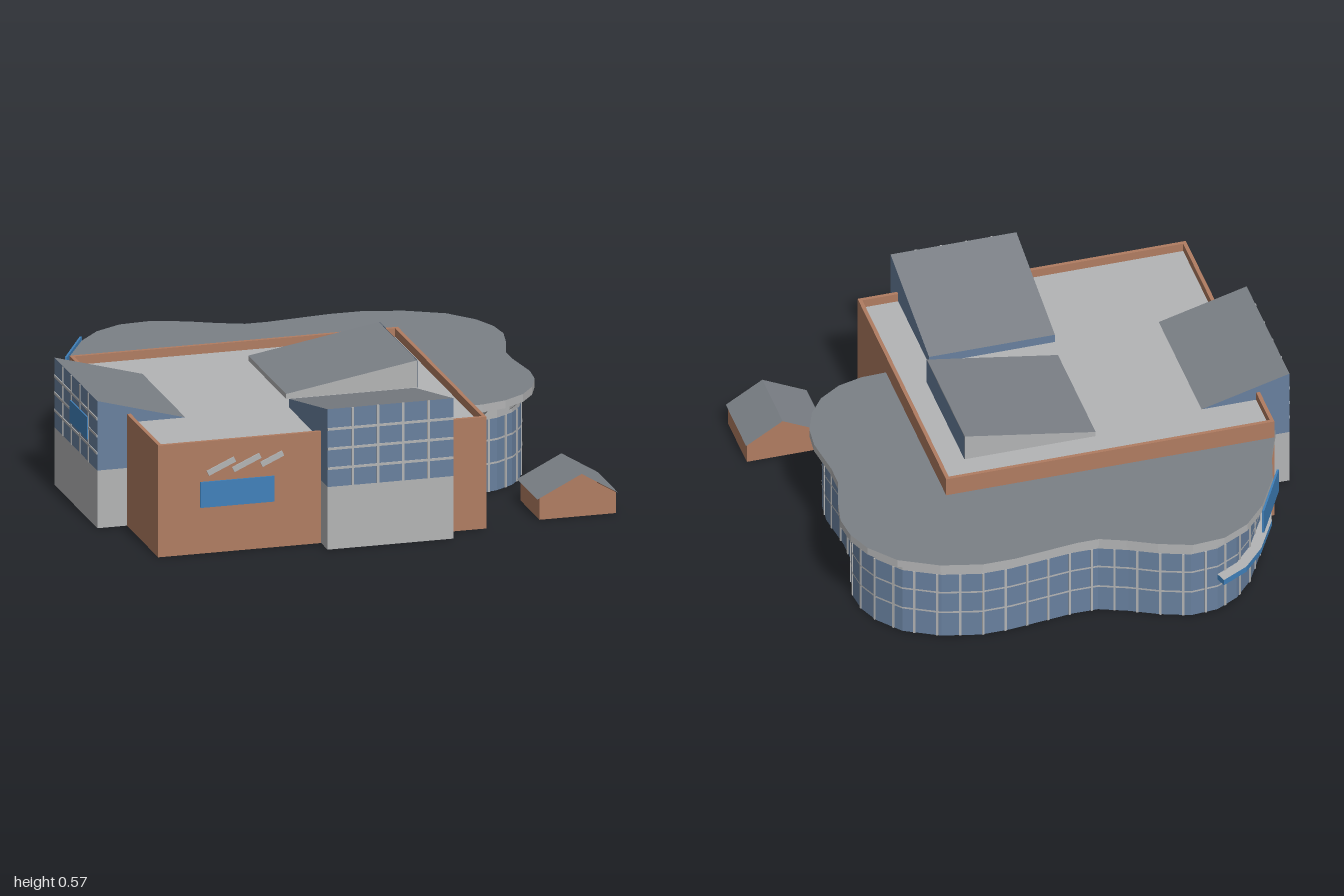
import * as THREE from 'three';

const mat = (name, color) => new THREE.MeshStandardMaterial({ name, color, side: THREE.DoubleSide });

// Flat-shaded geometry from a list of four-cornered faces
function quads(list) {
  const p = [];
  for (const [a, b, c, d] of list) p.push(...a, ...b, ...c, ...a, ...c, ...d);
  const g = new THREE.BufferGeometry();
  g.setAttribute('position', new THREE.Float32BufferAttribute(p, 3));
  g.computeVertexNormals();
  return g;
}

// Vertical band that follows a path of [x, z] points
function ribbon(path, y0, y1) {
  return quads(path.slice(1).map((b, i) => {
    const a = path[i];
    return [[b[0], y0, b[1]], [a[0], y0, a[1]], [a[0], y1, a[1]], [b[0], y1, b[1]]];
  }));
}

// Flat band between two matching paths
function shelf(outer, inner, y) {
  return quads(outer.slice(1).map((b, i) => {
    const a = outer[i], c = inner[i], d = inner[i + 1];
    return [[a[0], y, a[1]], [c[0], y, c[1]], [d[0], y, d[1]], [b[0], y, b[1]]];
  }));
}

// Move a path sideways, to the inside of the curve
function inset(path, dist) {
  return path.map(([x, z], i) => {
    const a = path[Math.max(i - 1, 0)], b = path[Math.min(i + 1, path.length - 1)];
    const l = Math.hypot(b[0] - a[0], b[1] - a[1]);
    return [x - (b[1] - a[1]) / l * dist, z + (b[0] - a[0]) / l * dist];
  });
}

// Evenly spaced points along a path, each with its outward angle
function along(path, step) {
  const out = [];
  let next = step / 2, run = 0;
  for (let i = 1; i < path.length; i++) {
    const [ax, az] = path[i - 1], [bx, bz] = path[i];
    const l = Math.hypot(bx - ax, bz - az);
    for (; next < run + l; next += step) {
      const t = (next - run) / l;
      out.push({ x: ax + (bx - ax) * t, z: az + (bz - az) * t, angle: -Math.atan2(bz - az, bx - ax) });
    }
    run += l;
  }
  return out;
}

export function createModel() {
  const root = new THREE.Group();
  const brick = mat('brick', 0xb07c61), glass = mat('glass', 0x68809e);
  const slate = mat('roof grey', 0x7b8086), light = mat('light grey', 0xb3b4b5);
  const blue = mat('sign blue', 0x3f80ba);

  const add = (name, geo, m, parent = root) => {
    const o = new THREE.Mesh(geo, m);
    o.name = name;
    parent.add(o);
    return o;
  };
  const box = (name, m, x0, x1, y0, y1, z0, z1, parent) => {
    const o = add(name, new THREE.BoxGeometry(x1 - x0, y1 - y0, z1 - z0), m, parent);
    o.position.set((x0 + x1) / 2, (y0 + y1) / 2, (z0 + z1) / 2);
    return o;
  };
  const group = (name) => {
    const g = new THREE.Group();
    g.name = name;
    root.add(g);
    return g;
  };

  // Main hall: open brick shell with a sunken flat roof
  const X0 = -0.88, X1 = 0.45, Z0 = -0.37, Z1 = 0.85, T = 0.015;
  box('leftWall', brick, X0, X0 + T, 0, 0.455, Z0, Z1);
  box('rightWall', brick, X1 - T, X1, 0, 0.455, Z0, Z1);
  box('backWall', brick, X0 + T, X1 - T, 0, 0.455, Z0, Z0 + T);
  box('frontWall', brick, X0 + T, X1 - T, 0, 0.455, Z1 - T, Z1);
  box('flatRoof', [light, light, light, slate, light, light],
    X0 + T, X1 - T, 0.41, 0.42, Z0 + T, Z1 - T);

  // Open shell with a sloped top; top(x, z) gives the height
  function shell(name, parent, [x0, x1, z0, z1], y0, top, m) {
    const c = [[x0, z1], [x1, z1], [x1, z0], [x0, z0]];
    return add(name, quads(c.map(([x, z], i) => {
      const [u, w] = c[(i + 1) % 4];
      return [[x, y0, z], [u, y0, w], [u, top(u, w), w], [x, top(x, z), z]];
    })), m, parent);
  }
  function slopedRoof(parent, [x0, x1, z0, z1], top) {
    const c = [[x0, z1], [x1, z1], [x1, z0], [x0, z0]];
    add('slopedRoof', quads([c.map(([x, z]) => [x, top(x, z), z])]), slate, parent);
  }

  // Front tower
  const front = group('frontTower'), fr = [-0.22, 0.29, 0.41, 0.94];
  const frontTop = (x, z) => 0.455 + (z - 0.41) / 0.53 * 0.117;
  shell('towerBase', front, fr, 0, () => 0.255, light);
  shell('towerGlass', front, fr, 0.255, frontTop, glass);
  slopedRoof(front, fr, frontTop);
  for (let i = 1; i < 5; i++) {
    const x = -0.22 + i * 0.102;
    box('windowBar', light, x - 0.005, x + 0.005, 0.255, 0.572, 0.938, 0.943, front);
  }
  for (const y of [0.33, 0.41, 0.49]) box('windowBar', light, -0.22, 0.29, y - 0.005, y + 0.005, 0.938, 0.943, front);

  // Left tower
  const left = group('leftTower'), lr = [-1, -0.63, -0.17, 0.42];
  const leftTop = (x) => 0.518 - (x + 1) * 0.275;
  shell('towerBase', left, lr, 0, () => 0.235, light);
  shell('towerGlass', left, lr, 0.235, leftTop, glass);
  slopedRoof(left, lr, leftTop);
  for (let i = 1; i < 5; i++) {
    const z = -0.17 + i * 0.118;
    box('windowBar', light, -1.003, -0.998, 0.235, 0.516, z - 0.005, z + 0.005, left);
  }
  for (const y of [0.305, 0.375, 0.445]) box('windowBar', light, -1.003, -0.998, y - 0.005, y + 0.005, -0.17, 0.42, left);
  box('towerSign', blue, -1.006, -1, 0.325, 0.415, 0.06, 0.3, left);

  // Skylight on the flat roof, glazed on its tall side
  const sky = group('skylight'), sr = [-0.2, 0.33, -0.22, 0.3];
  const skyTop = (x) => 0.44 + (x + 0.2) / 0.53 * 0.09;
  shell('skylightWalls', sky, sr, 0.415, skyTop, light);
  slopedRoof(sky, sr, skyTop);
  add('skylightGlass', ribbon([[0.332, 0.3], [0.332, -0.22]], 0.42, 0.53), glass, sky);

  // Blue panel and slanted strips on the front wall
  box('frontSign', blue, -0.71, -0.41, 0.188, 0.292, 0.85, 0.857);
  for (let i = 0; i < 3; i++) {
    const s = box('slantedStrip', light, -0.06, 0.06, -0.011, 0.011, 0, 0.006);
    s.position.set(-0.625 + i * 0.103, 0.35 + i * 0.006, 0.853);
    s.rotation.z = 0.42;
    if (i === 2) s.scale.x = 0.8;
  }

  // Curved wing
  const wing = group('curvedWing');
  const outline = [
    [-0.9, -0.32], [-0.84, -0.47], [-0.8, -0.62], [-0.71, -0.78], [-0.62, -0.88], [-0.51, -0.94],
    [-0.38, -0.95], [-0.25, -0.905], [-0.14, -0.85], [-0.04, -0.81], [0.05, -0.81], [0.18, -0.825],
    [0.31, -0.84], [0.44, -0.84], [0.6, -0.8], [0.75, -0.72], [0.84, -0.61], [0.88, -0.51],
    [0.89, -0.41], [0.87, -0.31], [0.83, -0.17], [0.83, -0.08], [0.85, 0.09], [0.84, 0.19],
    [0.8, 0.29], [0.74, 0.37], [0.65, 0.43], [0.55, 0.457], [0.45, 0.46]];
  const wall = inset(outline, 0.05), bars = inset(outline, 0.047);
  add('curvedGlass', ribbon(wall, 0, 0.295), glass, wing);
  add('upperBand', ribbon(wall, 0.295, 0.35), light, wing);
  for (const y of [0.115, 0.21]) add('windowBar', ribbon(bars, y - 0.004, y + 0.004), light, wing);
  for (const { x, z, angle } of along(wall, 0.09)) {
    const b = add('windowBar', new THREE.BoxGeometry(0.009, 0.295, 0.008), light, wing);
    b.position.set(x, 0.1475, z);
    b.rotation.y = angle;
  }

  // Overhanging roof slab: grey faces with a light rim
  const slab = new THREE.Shape([...outline, [0.44, -0.36], [-0.87, -0.36]].map(([x, z]) => new THREE.Vector2(x, -z)));
  const slabGeo = new THREE.ExtrudeGeometry(slab, { depth: 0.032, bevelEnabled: false });
  slabGeo.rotateX(-Math.PI / 2);
  add('wingRoof', slabGeo, [slate, light], wing).position.y = 0.346;

  // Triangular brackets under the overhang
  const tri = new THREE.Shape([[0, 0], [0.042, 0], [0, -0.035]].map((p) => new THREE.Vector2(...p)));
  const bracket = new THREE.ExtrudeGeometry(tri, { depth: 0.01, bevelEnabled: false });
  bracket.translate(0, 0, -0.005);
  bracket.rotateY(Math.PI / 2);
  for (const { x, z, angle } of along(wall, 0.15)) {
    const b = add('bracket', bracket, light, wing);
    b.position.set(x, 0.346, z);
    b.rotation.y = angle;
  }

  // Entrance canopy and banner at the back left
  const edge = inset(outline, 0.004).slice(0, 6), inner = wall.slice(0, 6);
  add('canopyTop', shelf(edge, inner, 0.17), light, wing);
  add('canopyUnderside', shelf(edge, inner, 0.145), blue, wing);
  add('canopyEdge', ribbon(edge, 0.145, 0.17), blue, wing);
  add('canopyEnd', ribbon([edge[5], inner[5]], 0.145, 0.17), blue, wing);
  const banner = add('banner', new THREE.BoxGeometry(0.273, 0.105, 0.008), blue, wing);
  banner.position.set(-0.767, 0.33, -0.7);
  banner.rotation.y = Math.atan2(0.24, 0.13);

  // Small gabled kiosk, open below
  const kiosk = group('kiosk');
  const gable = (z) => [
    [[0.68, 0, z], [0.845, 0, z], [0.845, 0.17, z], [0.68, 0.088, z]],
    [[0.845, 0, z], [0.99, 0, z], [0.99, 0.085, z], [0.845, 0.17, z]]];
  add('kioskWalls', quads([
    ...gable(0.8), ...gable(0.54).map((f) => f.reverse()),
    [[0.99, 0, 0.8], [0.99, 0, 0.54], [0.99, 0.085, 0.54], [0.99, 0.085, 0.8]],
    [[0.68, 0, 0.54], [0.68, 0, 0.8], [0.68, 0.088, 0.8], [0.68, 0.088, 0.54]]]), brick, kiosk);
  add('kioskRoof', quads([
    [[0.668, 0.086, 0.81], [0.848, 0.175, 0.81], [0.848, 0.175, 0.53], [0.668, 0.086, 0.53]],
    [[0.848, 0.175, 0.81], [0.996, 0.085, 0.81], [0.996, 0.085, 0.53], [0.848, 0.175, 0.53]]]), slate, kiosk);

  return root;
}
